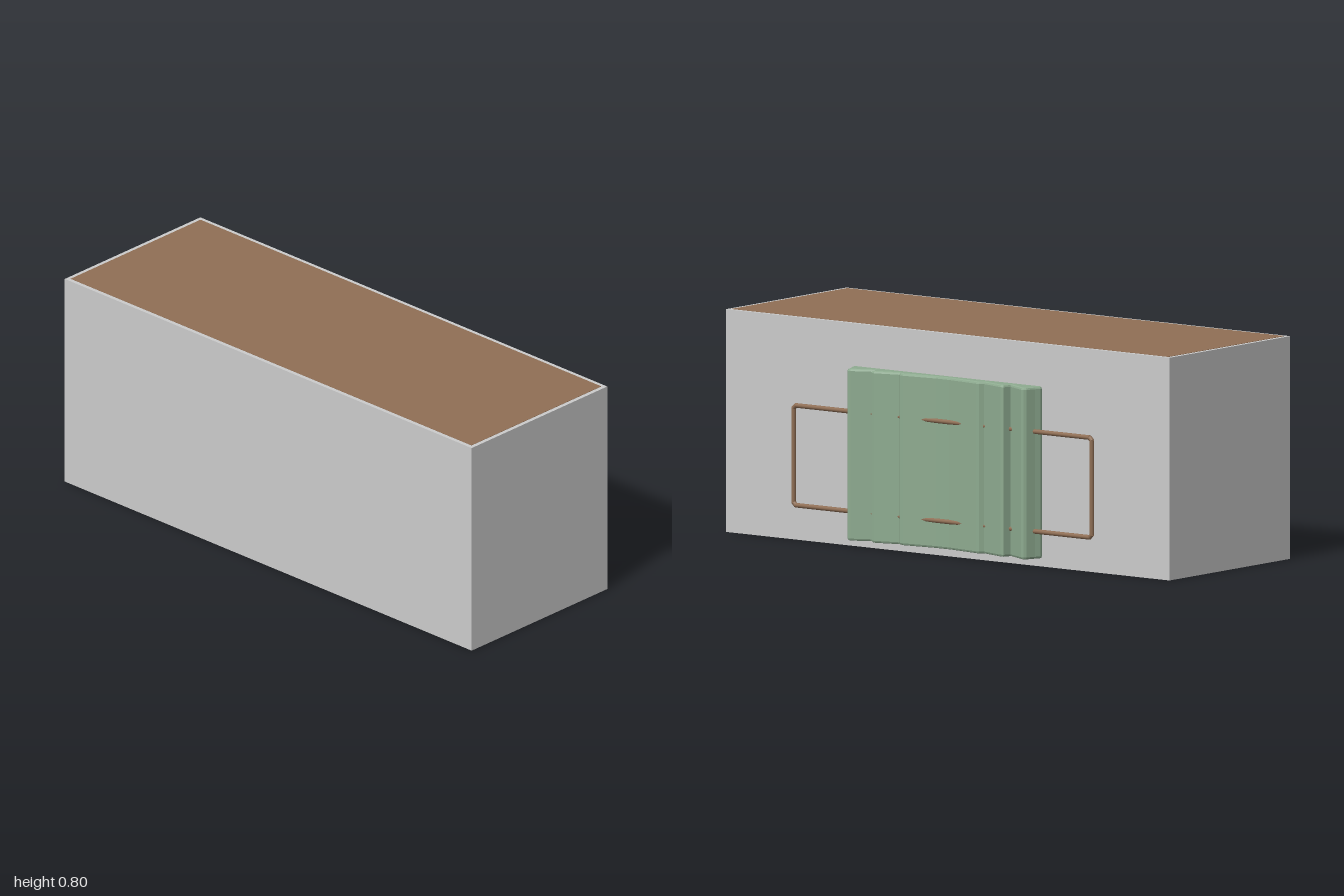
import * as THREE from 'three';

const grey = new THREE.MeshStandardMaterial({ color: 0xcccccc });
const brown = new THREE.MeshStandardMaterial({ color: 0x906f55 });
const green = new THREE.MeshStandardMaterial({ color: 0x8eab90 });

function add(parent, name, geometry, material, x = 0, y = 0, z = 0) {
  const mesh = new THREE.Mesh(geometry, material);
  mesh.name = name;
  mesh.position.set(x, y, z);
  parent.add(mesh);
  return mesh;
}

// Straight round bar between two points
function bar(parent, name, a, b, radius) {
  const dir = b.clone().sub(a);
  const mesh = add(parent, name, new THREE.CylinderGeometry(radius, radius, dir.length() + 0.003, 8), brown);
  mesh.position.copy(a).add(b).multiplyScalar(0.5);
  mesh.quaternion.setFromUnitVectors(new THREE.Vector3(0, 1, 0), dir.normalize());
}

export function createModel() {
  const model = new THREE.Group();
  model.name = 'counter';

  // Solid body with a thin panel set almost flush in the top
  add(model, 'body', new THREE.BoxGeometry(2, 0.799, 0.697), grey, 0, 0.3995, 0.0345);
  add(model, 'topPanel', new THREE.BoxGeometry(1.97, 0.02, 0.667), brown, 0, 0.79, 0.0345);

  // Ridged plate on the back: half profile as [x, distance behind centre], mirrored
  const half = [
    [0.425, 0.305], [0.425, 0.322], [0.415, 0.341], [0.403, 0.375], [0.396, 0.382], [0.385, 0.382],
    [0.306, 0.344], [0.297, 0.372], [0.285, 0.374], [0.19, 0.348], [0.178, 0.36], [0.165, 0.36], [0.08, 0.349], [0.03, 0.343],
  ];
  const points = [...half, ...half.map(([x, d]) => [-x, d]).reverse()];
  const profile = new THREE.Shape(points.map(([x, d]) => new THREE.Vector2(x, d)));
  const bevel = 0.008;
  const plate = new THREE.ExtrudeGeometry(profile, {
    depth: 0.617 - 2 * bevel, bevelEnabled: true, bevelSize: bevel, bevelOffset: -bevel,
    bevelThickness: bevel, bevelSegments: 2,
  });
  plate.rotateX(-Math.PI / 2);
  add(model, 'ridgedPlate', plate, green, 0, 0.029 + bevel, 0);

  // Rectangular bar loop passing through the plate, with clipped corners
  const loop = new THREE.Group();
  loop.name = 'barLoop';
  loop.position.set(0, 0.3075, -0.342);
  model.add(loop);
  const r = 0.0085, w = 0.672, h = 0.179, c = 0.01;
  const corners = [
    [w, h - c], [w - c, h], [-w + c, h], [-w, h - c],
    [-w, -h + c], [-w + c, -h], [w - c, -h], [w, -h + c],
  ].map(([x, y]) => new THREE.Vector3(x, y, 0));
  corners.forEach((p, i) => bar(loop, 'loopBar', p, corners[(i + 1) % corners.length], r));

  return model;
}
